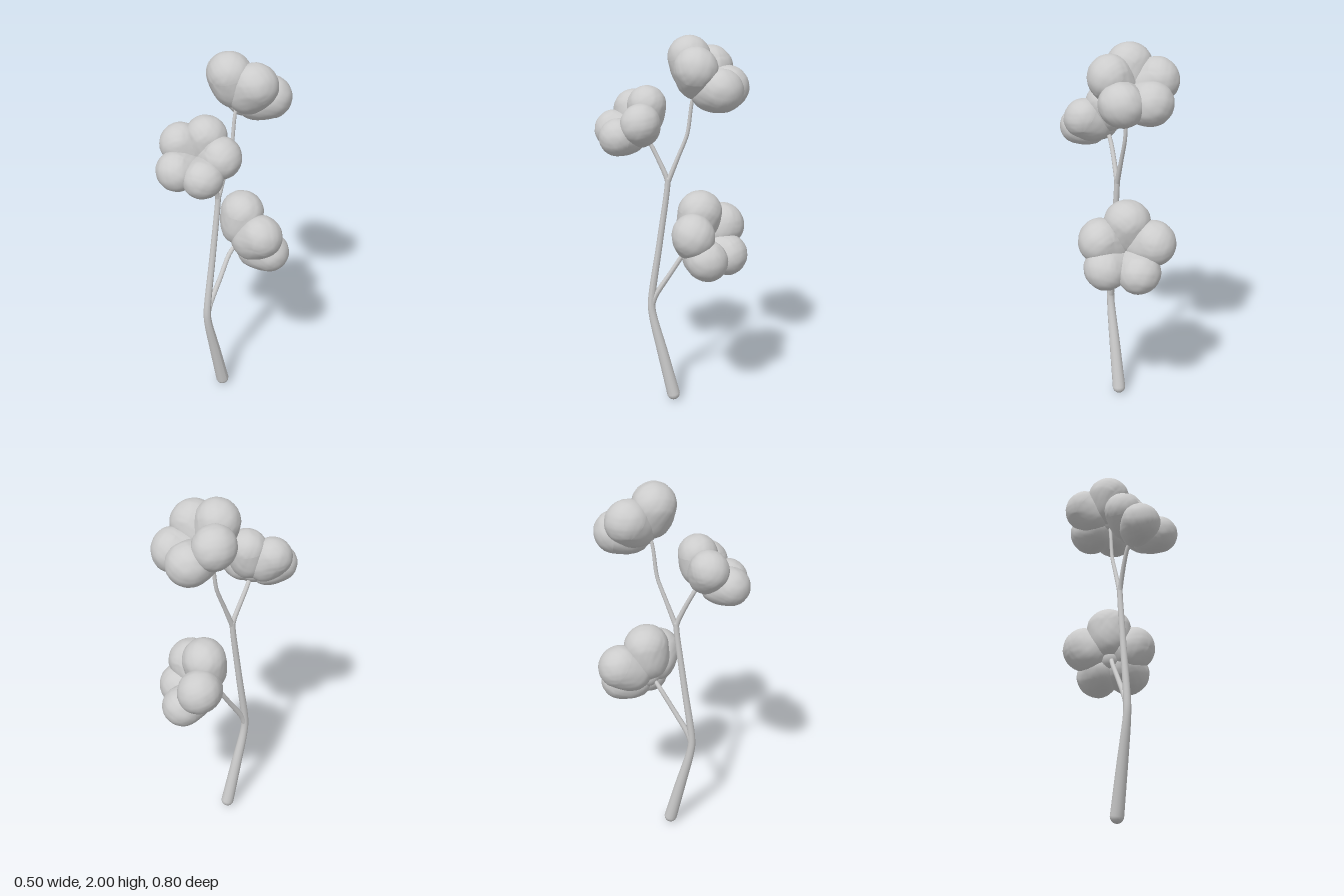
import * as THREE from 'three';

const material = new THREE.MeshStandardMaterial({ color: 0xcccccc });
const STEM_X = -0.02;

function addMesh(parent, geometry, name) {
  const mesh = new THREE.Mesh(geometry, material);
  mesh.name = name;
  parent.add(mesh);
  return mesh;
}

// Tapered tube through [y, z, radius, x] points, with rounded ends
function addLimb(parent, name, points) {
  const limb = new THREE.Group();
  limb.name = name;
  const curve = new THREE.CatmullRomCurve3(
    points.map(([y, z, , x = STEM_X]) => new THREE.Vector3(x, y, z)));
  const steps = 48, sides = 14;
  const geometry = new THREE.TubeGeometry(curve, steps, 1, sides);
  const pos = geometry.attributes.position, v = new THREE.Vector3();
  for (let i = 0; i <= steps; i++) {
    const centre = curve.getPointAt(i / steps);
    const u = curve.getUtoTmapping(i / steps) * (points.length - 1);
    const k = Math.min(Math.floor(u), points.length - 2);
    const radius = THREE.MathUtils.lerp(points[k][2], points[k + 1][2], u - k);
    for (let j = 0; j <= sides; j++) {
      const n = i * (sides + 1) + j;
      v.fromBufferAttribute(pos, n).sub(centre).multiplyScalar(radius).add(centre);
      pos.setXYZ(n, v.x, v.y, v.z);
    }
  }
  geometry.computeVertexNormals();
  addMesh(limb, geometry, name + 'Tube');
  for (const [y, z, r, x = STEM_X] of [points[0], points[points.length - 1]]) {
    addMesh(limb, new THREE.SphereGeometry(r, 14, 10), name + 'End').position.set(x, y, z);
  }
  parent.add(limb);
}

// Soft lumpy lobe: a ball whose +z side is drawn out, bluntly, toward the twig
function lobeGeometry(radius, seed) {
  const geometry = new THREE.SphereGeometry(radius, 48, 36);
  const pos = geometry.attributes.position, v = new THREE.Vector3();
  for (let i = 0; i < pos.count; i++) {
    v.fromBufferAttribute(pos, i);
    const d = v.clone().divideScalar(radius);
    const lump = Math.sin(7 * d.x + seed) * Math.sin(8 * d.y + 2 * seed) * Math.sin(7 * d.z + 3 * seed)
      + 0.6 * Math.sin(15 * d.x + 2 * seed) * Math.sin(14 * d.y + seed) * Math.sin(16 * d.z + seed);
    v.multiplyScalar(1 + 0.012 * lump);
    v.x *= 1.06;
    if (d.z > 0) {
      const blunt = 1 + 0.25 * d.z * d.z;
      v.set(v.x * blunt, v.y * blunt, v.z * 1.62);
    }
    pos.setXYZ(i, v.x, v.y, v.z);
  }
  geometry.computeVertexNormals();
  return geometry;
}

// Five lobes [x, y, z, radius] gathered round a shared centre, rooted at the twig
function addBoll(parent, name, root, lobes) {
  const boll = new THREE.Group();
  boll.name = name;
  const centre = new THREE.Vector3();
  lobes.forEach(([x, y, z]) => centre.add(new THREE.Vector3(x, y, z)));
  centre.divideScalar(lobes.length);
  const base = new THREE.Vector3(...root);
  const aim = centre.clone().lerp(base, 0.75);
  const axis = centre.clone().sub(base).normalize();
  lobes.forEach(([x, y, z, r], i) => {
    const lobe = addMesh(boll, lobeGeometry(r, i * 1.7 + centre.y * 5), 'lobe' + (i + 1));
    lobe.position.set(x, y, z);
    lobe.up.copy(axis);
    lobe.lookAt(aim);
  });
  // filling between the lobes
  addMesh(boll, new THREE.SphereGeometry(0.065, 20, 14), 'core')
    .position.copy(centre).lerp(base, 0.5);
  parent.add(boll);
}

export function createModel() {
  const model = new THREE.Group();
  model.name = 'bollBranch';

  // Main stem and its side twigs
  addLimb(model, 'mainStem', [
    [0.036, -0.01, 0.035], [0.28, 0.05, 0.029], [0.5, 0.104, 0.021], [0.57, 0.11, 0.02],
    [0.9, 0.066, 0.017], [1.2, 0.025, 0.015], [1.26, 0.02, 0.015],
  ]);
  addLimb(model, 'topTwig', [
    [1.24, 0.022, 0.014], [1.38, -0.033, 0.011], [1.49, -0.076, 0.01],
    [1.53, -0.085, 0.01], [1.69, -0.108, 0.009], [1.76, -0.14, 0.008],
  ]);
  addLimb(model, 'frontTwig', [
    [1.24, 0.02, 0.014], [1.28, 0.032, 0.013], [1.46, 0.12, 0.011], [1.53, 0.165, 0.009, 0],
  ]);
  addLimb(model, 'backTwig', [
    [0.56, 0.108, 0.018], [0.61, 0.088, 0.015], [0.74, 0.008, 0.013],
    [0.87, -0.075, 0.012], [0.93, -0.13, 0.01, 0],
  ]);

  // Bolls
  addBoll(model, 'topBoll', [-0.02, 1.69, -0.105], [
    [-0.04, 1.89, -0.085, 0.108], [0.085, 1.85, -0.135, 0.108], [0.075, 1.745, -0.26, 0.108],
    [-0.07, 1.74, -0.277, 0.108], [-0.145, 1.83, -0.185, 0.106],
  ]);
  addBoll(model, 'frontBoll', [-0.02, 1.465, 0.12], [
    [0, 1.65, 0.125, 0.098], [0.115, 1.575, 0.14, 0.098], [0.1, 1.5, 0.255, 0.095],
    [-0.03, 1.515, 0.305, 0.096], [-0.093, 1.615, 0.215, 0.095],
  ]);
  addBoll(model, 'backBoll', [-0.02, 0.87, -0.085], [
    [-0.005, 1.095, -0.15, 0.113], [0.14, 1.01, -0.135, 0.11], [0.14, 0.88, -0.205, 0.106],
    [-0.01, 0.868, -0.295, 0.105], [-0.107, 1.005, -0.26, 0.11],
  ]);
  return model;
}
